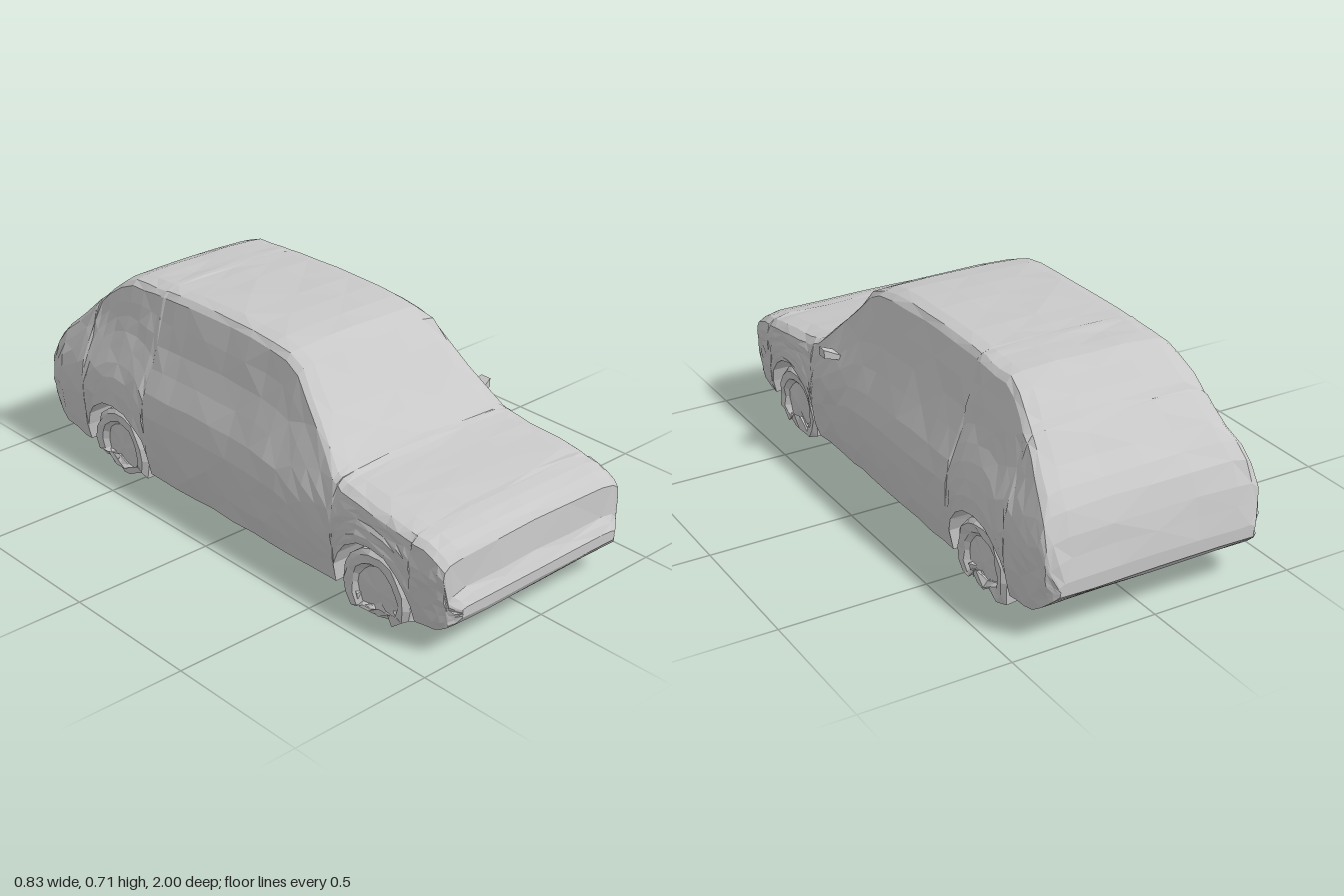
import * as THREE from 'three';

const paint = new THREE.MeshStandardMaterial({ color: 0xc8c8c8, flatShading: true, side: THREE.DoubleSide });
paint.name = 'plain grey';

// Piecewise linear lookup in a list of [key, value], keys ascending
function lookup(table, k) {
  if (k <= table[0][0]) return table[0][1];
  for (let i = 1; i < table.length; i++) {
    const [k0, v0] = table[i - 1], [k1, v1] = table[i];
    if (k <= k1) return v0 + (v1 - v0) * (k - k0) / (k1 - k0);
  }
  return table[table.length - 1][1];
}

// Repeatable noise from a position, -0.5 to 0.5
function noise(x, y, z) {
  const s = Math.sin(Math.round(x * 500) * 12.9898 + Math.round(y * 500) * 78.233 + Math.round(z * 500) * 37.719) * 43758.5453;
  return s - Math.floor(s) - 0.5;
}

// Side outline: upper and lower edge along z
const topLine = [[-1, 0.21], [-0.985, 0.28], [-0.97, 0.34], [-0.94, 0.41], [-0.9, 0.46], [-0.8, 0.555],
  [-0.7, 0.645], [-0.65, 0.685], [-0.6, 0.7], [-0.4, 0.71], [-0.15, 0.716], [0.1, 0.708], [0.18, 0.695],
  [0.24, 0.67], [0.3, 0.605], [0.4, 0.505], [0.48, 0.43], [0.53, 0.412], [0.7, 0.392], [0.88, 0.368],
  [0.94, 0.347], [0.962, 0.32], [0.972, 0.22], [1, 0.175]];
const bottomLine = [[-1, 0.165], [-0.96, 0.125], [-0.9, 0.085], [-0.8, 0.062], [-0.4, 0.052], [0.5, 0.052],
  [0.85, 0.07], [0.94, 0.085], [0.98, 0.11], [1, 0.14]];
// Half width by height, and its narrowing towards the ends
const halfWidth = [[0.05, 0.375], [0.1, 0.388], [0.2, 0.4], [0.28, 0.404], [0.36, 0.392], [0.41, 0.37],
  [0.5, 0.335], [0.6, 0.31], [0.68, 0.288], [0.72, 0.27]];
const planScale = [[-1, 0.88], [-0.97, 0.95], [-0.9, 0.99], [-0.8, 1], [0.85, 1], [0.94, 0.975], [0.97, 0.95], [1, 0.86]];

const axles = [0.67, -0.6];
const archRadius = 0.168, archCentre = 0.09, wellX = 0.23;
const sideRows = 8;

// Closed cross-section, anticlockwise seen from the front
function section(z) {
  const b = lookup(bottomLine, z), t = lookup(topLine, z), s = lookup(planScale, z);
  let arch = b;
  for (const axle of axles) {
    const d = Math.abs(z - axle);
    if (d < archRadius) arch = Math.max(arch, archCentre + Math.sqrt(archRadius ** 2 - d ** 2));
  }
  const crown = Math.min(0.03, (t - b) * 0.25);
  const half = [[0, b], [wellX, b], [wellX, arch]];
  for (let i = 0; i <= sideRows; i++) {
    const y = arch + (t - crown - arch) * i / sideRows;
    half.push([lookup(halfWidth, y) * s, y]);
  }
  const w = lookup(halfWidth, t - crown) * s;
  half.push([w * 0.94, t - crown * 0.4], [w * 0.8, t - crown * 0.1], [w * 0.4, t], [0, t]);
  const mirrored = half.slice(1, -1).reverse().map(([x, y]) => [-x, y]);
  return half.concat(mirrored);
}

function bodyGeometry() {
  const stations = [-1, -0.985, -0.97, -0.94, -0.9, -0.85, -0.8, -0.37, -0.3, -0.2, -0.1, 0, 0.1, 0.18, 0.24,
    0.3, 0.36, 0.42, 0.48, 0.88, 0.92, 0.945, 0.962, 0.972, 0.985, 1];
  for (const axle of axles) {
    for (const d of [0.17, 0.165, 0.145, 0.11, 0.06]) stations.push(axle - d, axle + d);
    stations.push(axle);
  }
  stations.sort((a, b) => a - b);
  const positions = [], index = [];
  const loops = stations.map(section);
  const n = loops[0].length;
  loops.forEach((loop, i) => loop.forEach(([x, y]) => {
    const z = stations[i], end = Math.abs(z) > 0.99 ? 0 : 0.007;
    positions.push(x + noise(x, y, z) * 0.007, y + noise(y, z, x) * 0.005, z + noise(z, x, y) * end);
  }));
  for (let i = 0; i < stations.length - 1; i++) {
    const mid = (stations[i] + stations[i + 1]) / 2;
    const openFloor = mid > -0.37 && mid < 0.3;
    for (let j = 0; j < n; j++) {
      // The floor is open between the axles
      if (openFloor && (j < 3 || j >= n - 3)) continue;
      const k = (j + 1) % n;
      const a = i * n + j, b = i * n + k, c = a + n, d = b + n;
      if ((i + j) % 2) index.push(a, b, c, b, d, c);
      else index.push(a, b, d, a, d, c);
    }
  }
  // Nose and tail caps
  for (const [row, front] of [[0, false], [stations.length - 1, true]]) {
    const centre = positions.length / 3, z = stations[row];
    positions.push(0, (lookup(topLine, z) + lookup(bottomLine, z)) / 2, z);
    for (let j = 0; j < n; j++) {
      const a = row * n + j, b = row * n + (j + 1) % n;
      if (front) index.push(centre, a, b);
      else index.push(centre, b, a);
    }
  }
  const g = new THREE.BufferGeometry();
  g.setAttribute('position', new THREE.Float32BufferAttribute(positions, 3));
  g.setIndex(index);
  g.computeVertexNormals();
  return g;
}

// Dished wheel, cut off raggedly just above the ground
function wheelGeometry(side, z) {
  const profile = [[0, -0.07], [0.12, -0.07], [0.145, -0.05], [0.145, 0.055], [0.13, 0.07], [0.1, 0.066], [0.085, 0.05], [0, 0.055]]
    .map(([r, h]) => new THREE.Vector2(r, h));
  const g = new THREE.LatheGeometry(profile, 18);
  g.rotateZ(-side * Math.PI / 2);
  g.translate(side * 0.312, 0.085, z);
  const p = g.attributes.position;
  for (let i = 0; i < p.count; i++) {
    const x = p.getX(i), y = p.getY(i), w = p.getZ(i);
    const r = noise(x, y, w);
    if (y < 0.04) p.setY(i, 0.03 + r * 0.055);
    else p.setXYZ(i, x + r * 0.008, y, w + r * 0.006);
  }
  g.computeVertexNormals();
  return g;
}

export function createModel() {
  const car = new THREE.Group();
  car.name = 'car';
  const add = (name, geometry) => {
    const mesh = new THREE.Mesh(geometry, paint);
    mesh.name = name;
    mesh.position.x = -0.01;
    car.add(mesh);
    return mesh;
  };

  add('bodyShell', bodyGeometry());

  axles.forEach((z, i) => {
    for (const side of [1, -1]) {
      add((i ? 'rear' : 'front') + (side > 0 ? 'Left' : 'Right') + 'Wheel', wheelGeometry(side, z));
      // Ragged tips hanging below the tyre
      for (let k = 0; k < 4; k++) {
        const tip = new THREE.ConeGeometry(0.018, 0.05, 3);
        tip.rotateX(Math.PI);
        tip.translate(side * (0.26 + 0.035 * k), 0.028 + 0.005 * (k % 3), z + noise(k, side, z) * 0.2);
        add('tyreTip', tip);
      }
    }
  });

  // Door mirror on the left side only, widening outwards
  const mirror = new THREE.BoxGeometry(0.065, 0.03, 0.05);
  const p = mirror.attributes.position;
  for (let i = 0; i < p.count; i++) {
    const outer = p.getX(i) > 0;
    p.setXYZ(i, p.getX(i) + 0.392, p.getY(i) * (outer ? 1 : 0.5) + (outer ? 0.428 : 0.405), p.getZ(i) * (outer ? 0.8 : 1.3) + 0.355);
  }
  mirror.computeVertexNormals();
  add('doorMirror', mirror);

  return car;
}
